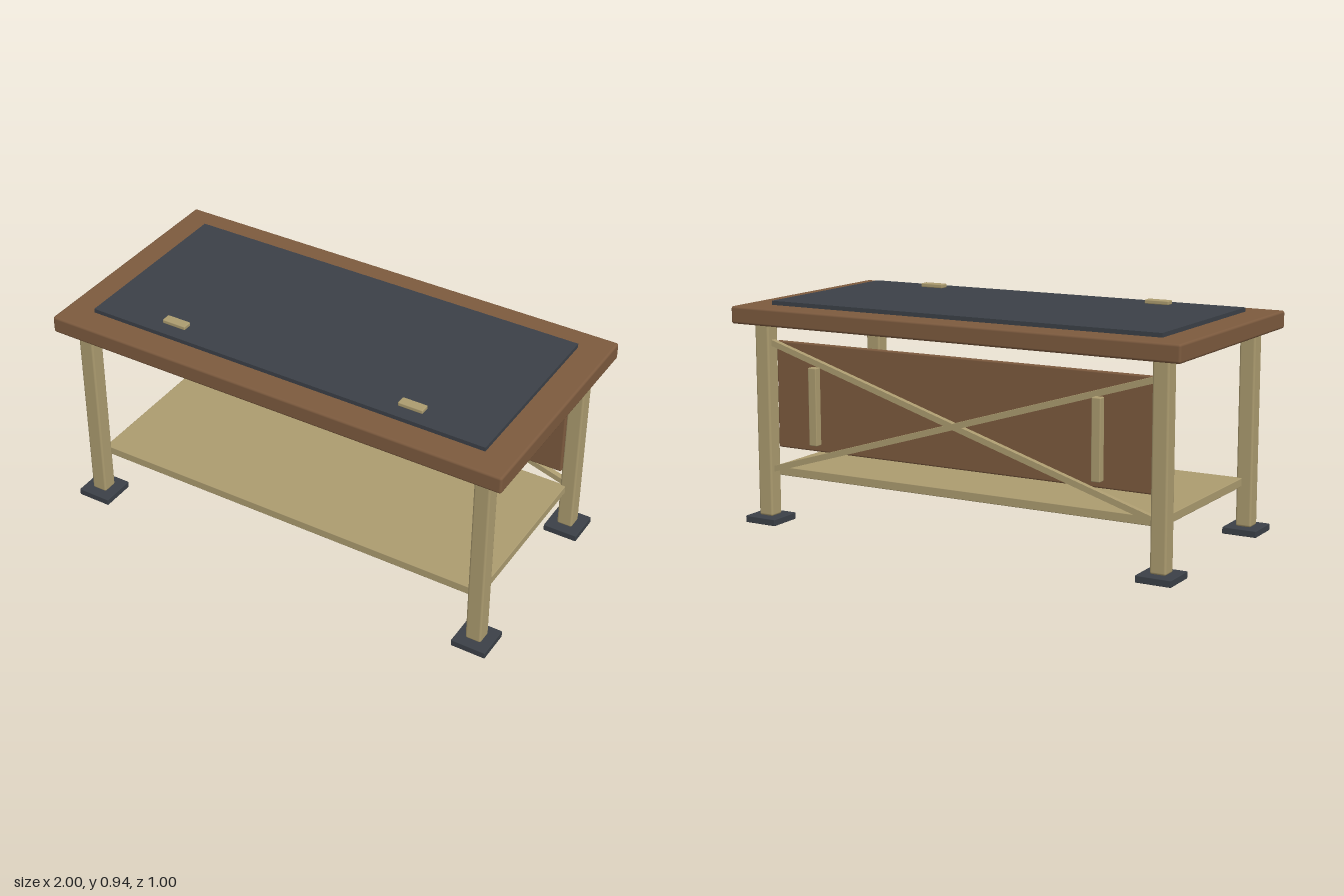
import * as THREE from 'three';
import { RoundedBoxGeometry } from 'three/addons/geometries/RoundedBoxGeometry.js';

export function createModel() {
  const model = new THREE.Group();
  model.name = 'workTable';

  const material = (name, color) => {
    const m = new THREE.MeshStandardMaterial({ color });
    m.name = name;
    return m;
  };
  const brown = material('brownWood', 0x7c5a3e);
  const tan = material('paleWood', 0xab9b6f);
  const dark = material('darkSlate', 0x3b4047);

  // Adds a box by size and centre; a radius above 0 softens the edges
  const box = (name, mat, size, pos, radius = 0) => {
    const geo = radius
      ? new RoundedBoxGeometry(...size, 2, radius)
      : new THREE.BoxGeometry(...size);
    const mesh = new THREE.Mesh(geo, mat);
    mesh.name = name;
    mesh.position.set(...pos);
    model.add(mesh);
    return mesh;
  };

  // Table top with its inset work mat
  box('tableTop', brown, [2, 0.072, 1], [0, 0.869, 0], 0.01);
  box('workMat', dark, [1.752, 0.018, 0.776], [0, 0.913, 0]);

  // Legs and foot pads
  for (const sx of [-1, 1]) {
    for (const sz of [-1, 1]) {
      const x = sx * 0.895, z = sz * 0.405;
      box('leg', tan, [0.067, 0.806, 0.067], [x, 0.431, z], 0.009);
      box('footPad', dark, [0.147, 0.028, 0.147], [x, 0.014, z], 0.003);
    }
  }

  // Lower shelf
  box('shelf', tan, [1.77, 0.036, 0.76], [0, 0.212, 0], 0.003);

  // Back panel
  box('backPanel', brown, [1.736, 0.446, 0.022], [0, 0.534, -0.362], 0.007);

  // Crossed braces behind the panel
  for (const s of [-1, 1]) {
    const brace = box('crossBrace', tan, [1.82, 0.024, 0.024], [0, 0.49, -0.405 + s * 0.001]);
    brace.rotation.z = s * 0.296;
  }

  // Mat clips on top and upright cleats at the back
  for (const sx of [-1, 1]) {
    box('matClip', tan, [0.105, 0.017, 0.041], [sx * 0.532, 0.93, 0.309], 0.004);
    box('backCleat', tan, [0.038, 0.32, 0.034], [sx * 0.64, 0.512, -0.433], 0.004);
  }

  return model;
}
